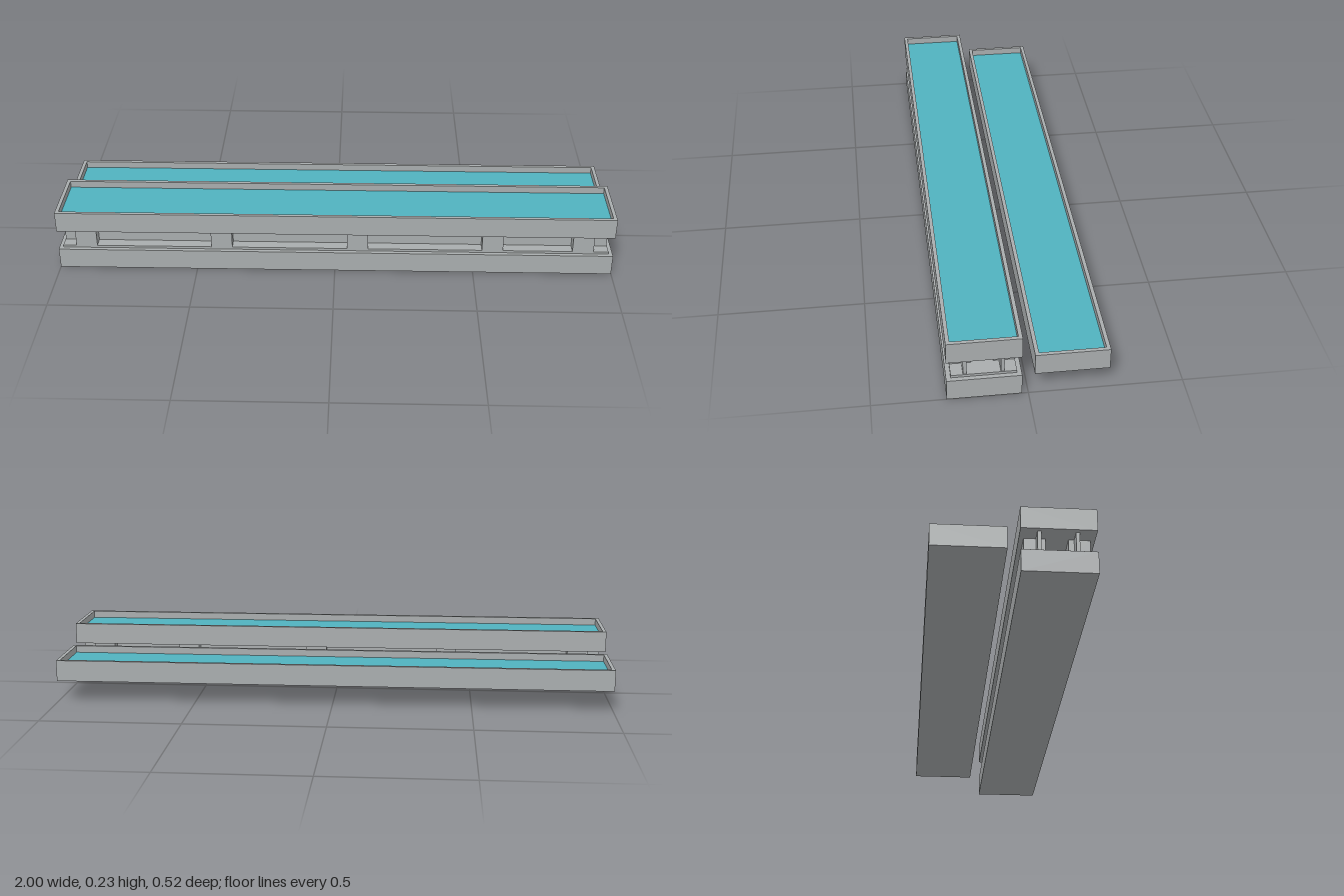
import * as THREE from 'three';

export function createModel() {
  const group = new THREE.Group();
  const concrete = new THREE.MeshStandardMaterial({ color: 0xa9adae });
  const water = new THREE.MeshStandardMaterial({ color: 0x50b2bf });

  // Box given by its minimum and maximum corners
  function box(parent, name, material, [x0, y0, z0], [x1, y1, z1]) {
    const mesh = new THREE.Mesh(new THREE.BoxGeometry(x1 - x0, y1 - y0, z1 - z0), material);
    mesh.position.set((x0 + x1) / 2, (y0 + y1) / 2, (z0 + z1) / 2);
    mesh.name = name;
    parent.add(mesh);
  }

  // Long open trough: rim ring around a water surface, closed underneath
  function trough(name, y, zc) {
    const part = new THREE.Group();
    part.name = name;
    const height = 0.076, rim = 0.013, halfDepth = 0.12;
    const ring = new THREE.Shape([[-1, -halfDepth], [1, -halfDepth], [1, halfDepth], [-1, halfDepth]]
      .map(([a, b]) => new THREE.Vector2(a, b)));
    const ix = 1 - rim, iz = halfDepth - rim;
    ring.holes.push(new THREE.Path([[-ix, -iz], [-ix, iz], [ix, iz], [ix, -iz]]
      .map(([a, b]) => new THREE.Vector2(a, b))));
    const geometry = new THREE.ExtrudeGeometry(ring, { depth: height, bevelEnabled: false });
    geometry.rotateX(-Math.PI / 2);
    const walls = new THREE.Mesh(geometry, concrete);
    walls.name = 'troughWalls';
    part.add(walls);
    box(part, 'troughFloor', concrete, [-ix, 0, -iz], [ix, 0.045, iz]);
    box(part, 'waterSurface', water, [-ix, 0.045, -iz], [ix, 0.051, iz]);
    part.position.set(0, y, zc);
    group.add(part);
  }

  trough('upperTrough', 0.152, 0.14);
  trough('rearTrough', 0.078, -0.14);

  // Lower base with a raised deck
  box(group, 'lowerBase', concrete, [-1, 0, 0.02], [1, 0.076, 0.26]);
  box(group, 'deck', concrete, [-0.985, 0.076, 0.035], [0.985, 0.085, 0.245]);

  // Two mirrored rows of posts, each with a thin wall running through it
  const postStarts = [-0.937, -0.447, 0.043, 0.53, 0.855];
  for (const side of [-1, 1]) {
    const row = new THREE.Group();
    row.name = side > 0 ? 'frontSupportRow' : 'rearSupportRow';
    const span = (a, b) => (side > 0 ? [0.14 + a, 0.14 + b] : [0.14 - b, 0.14 - a]);
    const [p0, p1] = span(0.036, 0.105);
    for (const x of postStarts) box(row, 'post', concrete, [x, 0.085, p0], [x + 0.076, 0.152, p1]);
    const [w0, w1] = span(0.054, 0.066);
    box(row, 'thinWall', concrete, [-0.983, 0.085, w0], [0.983, 0.152, w1]);
    group.add(row);
  }
  return group;
}
